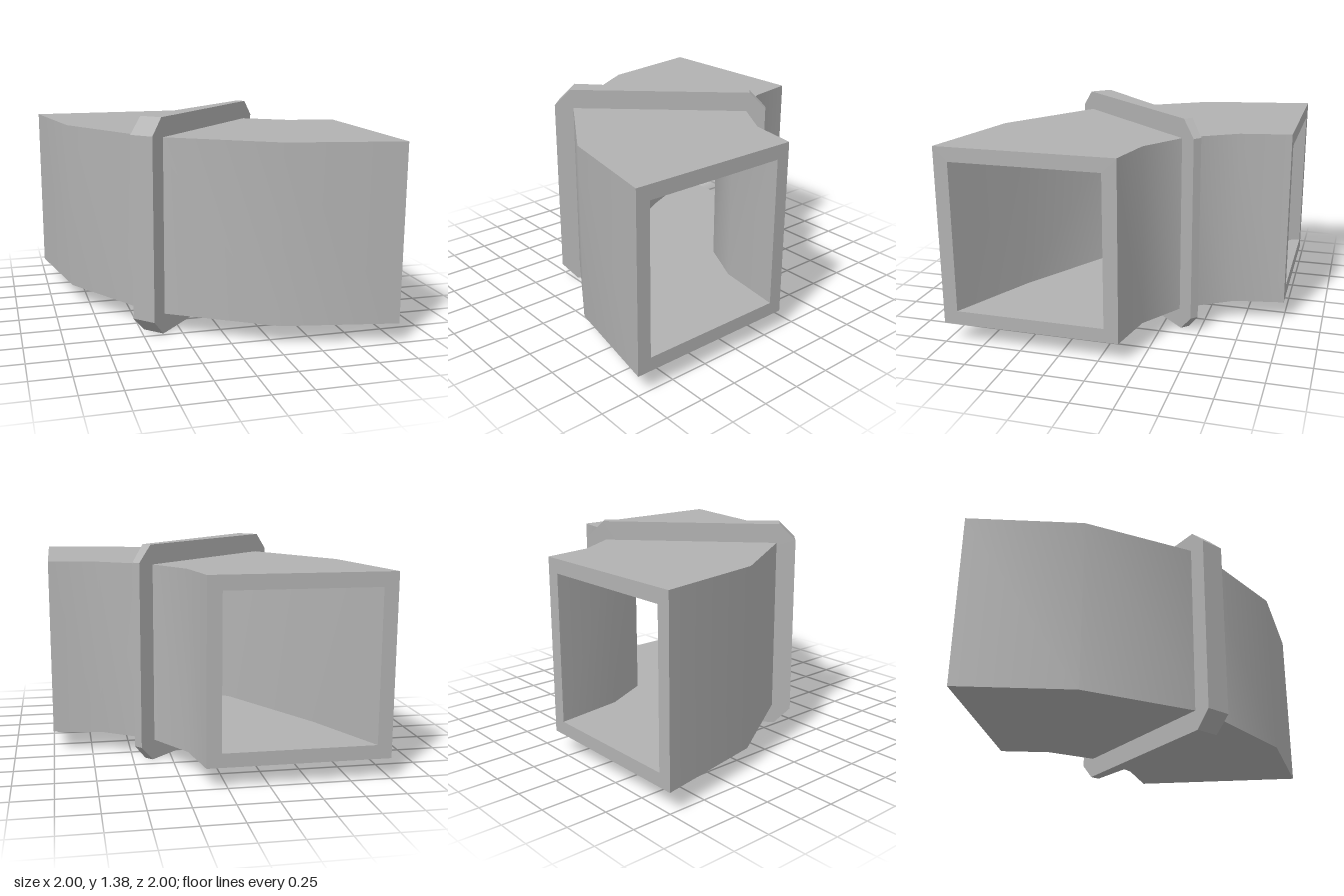
import * as THREE from 'three';
import { toCreasedNormals } from 'three/addons/utils/BufferGeometryUtils.js';

const metal = new THREE.MeshStandardMaterial({ color: 0xb2b2b2 });
metal.name = 'duct grey';

// Half of a bend in plan [x, z], mirrored across the diagonal x = -z
const mirrorPath = (half) => [...half, ...half.slice(0, -1).reverse().map(([x, z]) => [-z, -x])];

// Rectangular rings swept along the bend: outer bottom, inner bottom, inner top, outer top
function rings(outerPath, innerPath, y0, y1) {
  return outerPath.map(([ox, oz], i) => {
    const [ix, iz] = innerPath[i];
    return [[ox, y0, oz], [ix, y0, iz], [ix, y1, iz], [ox, y1, oz]];
  });
}

// Hollow square elbow with thick walls and open ends
function ductGeometry() {
  const shell = rings(
    mirrorPath([[-1, -1], [-0.862, -0.275], [-0.425, 0.425]]),
    mirrorPath([[0.128, -1], [0.188, -0.682], [0.38, -0.38]]), 0.128, 1.255);
  const bore = rings(
    mirrorPath([[-0.91, -1], [-0.67, -0.47], [-0.255, 0.255]]),
    mirrorPath([[0.038, -1], [0.1, -0.56], [0.25, -0.25]]), 0.215, 1.165);
  const pos = [];
  const quad = (a, b, c, d) => pos.push(...a, ...b, ...c, ...a, ...c, ...d);
  const last = shell.length - 1;
  for (let k = 0; k < 4; k++) {
    const n = (k + 1) % 4;
    for (let i = 0; i < last; i++) {
      quad(shell[i][k], shell[i][n], shell[i + 1][n], shell[i + 1][k]);
      quad(bore[i][k], bore[i + 1][k], bore[i + 1][n], bore[i][n]);
    }
    // end rims
    quad(shell[0][k], bore[0][k], bore[0][n], shell[0][n]);
    quad(shell[last][k], shell[last][n], bore[last][n], bore[last][k]);
  }
  const geo = new THREE.BufferGeometry();
  geo.setAttribute('position', new THREE.Float32BufferAttribute(pos, 3));
  return toCreasedNormals(geo, 0.7);
}

// Chamfered frame round the middle, thinner towards the inside of the bend
function collarGeometry() {
  const u0 = -0.667, u1 = 0.706, top = 1.378, c = 0.105;
  const shape = new THREE.Shape([
    [u0 + c, 0], [u1 - c, 0], [u1, c], [u1, top - c],
    [u1 - c, top], [u0 + c, top], [u0, top - c], [u0, c],
  ].map(([x, y]) => new THREE.Vector2(x, y)));
  shape.holes.push(new THREE.Path([
    [-0.45, 0.17], [-0.45, 1.21], [0.5, 1.21], [0.5, 0.17],
  ].map(([x, y]) => new THREE.Vector2(x, y))));
  const geo = new THREE.ExtrudeGeometry(shape, { depth: 2, bevelEnabled: false });
  geo.translate(0, 0, -1);
  const p = geo.attributes.position;
  for (let i = 0; i < p.count; i++) p.setZ(i, p.getZ(i) * (0.0528 + 0.0386 * p.getX(i)));
  geo.computeVertexNormals();
  return geo;
}

export function createModel() {
  const group = new THREE.Group();
  group.name = 'ductElbow';

  const duct = new THREE.Mesh(ductGeometry(), metal);
  duct.name = 'duct';

  const collar = new THREE.Mesh(collarGeometry(), metal);
  collar.name = 'collar';
  collar.rotation.y = -Math.PI * 0.75;

  group.add(duct, collar);
  return group;
}
